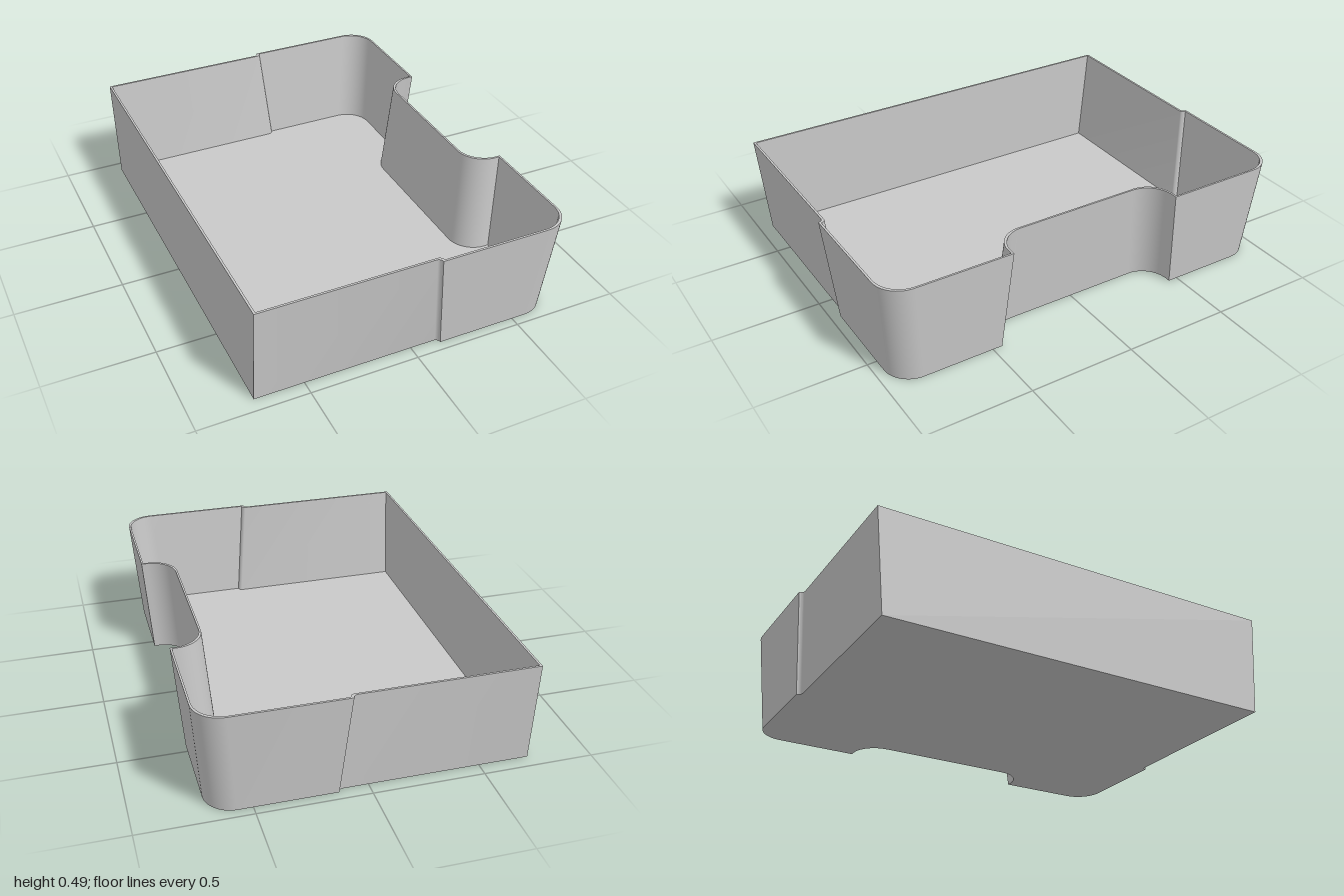
import * as THREE from 'three';
import { toCreasedNormals } from 'three/addons/utils/BufferGeometryUtils.js';

const HEIGHT = 0.485, WALL = 0.01, DRAFT = 0.042, FLOOR = 0.012;

// Points of an arc in the x-z plane, angles in quarter turns
function arc(cx, cz, r, from, to, steps) {
  return Array.from({ length: steps + 1 }, (_, i) => {
    const a = (from + (to - from) * i / steps) * Math.PI / 2;
    return [cx + r * Math.cos(a), cz + r * Math.sin(a)];
  });
}

// Plan outline moved inward by d, at height y; the straight edge sits at edgeX
function outline(d, edgeX, y) {
  const e = 0.87 * d;                                         // the notched end slopes less
  const side = 0.977 - d, wide = 0.998 - d, end = 0.727 - e;
  const step = 0.092 + d, notchX = 0.58 - e, notchZ = 0.418 + e;
  const r = 0.125, s = wide - side;
  const half = [
    [edgeX, side],
    ...arc(step - s, wide, s, -1, 0, 6),                      // small side step
    ...arc(end - r, wide - r, r, 1, 0, 16),                   // rounded corner
    [end, notchZ],
    ...arc(notchX + r, notchZ - r, r, 1, 2, 16)               // notch corner
  ];
  const mirrored = half.map(([x, z]) => [x, -z]).reverse();
  return [...half, ...mirrored].map(([x, z]) => new THREE.Vector3(x, y, z));
}

// Closed band of quads between two outlines
function band(a, b) {
  const pos = [];
  for (let i = 0; i < a.length; i++) {
    const j = (i + 1) % a.length;
    for (const p of [a[i], a[j], b[j], a[i], b[j], b[i]]) pos.push(p.x, p.y, p.z);
  }
  const g = new THREE.BufferGeometry();
  g.setAttribute('position', new THREE.Float32BufferAttribute(pos, 3));
  return toCreasedNormals(g, 0.5);
}

// Flat face filling an outline, facing up (1) or down (-1)
function cap(ring, facing) {
  const shape = new THREE.Shape(ring.map(p => new THREE.Vector2(p.x, -facing * p.z)));
  return new THREE.ShapeGeometry(shape)
    .rotateX(-facing * Math.PI / 2)
    .translate(0, ring[0].y, 0);
}

export function createModel() {
  const group = new THREE.Group();
  group.name = 'tray';
  const grey = new THREE.MeshStandardMaterial({ color: 0xc8c8c8 });
  grey.name = 'lightGrey';

  const edge = -0.727;
  const outerBottom = outline(DRAFT, edge, 0);
  const outerTop = outline(0, edge, HEIGHT);
  const innerTop = outline(WALL, edge + WALL, HEIGHT);
  const innerBottom = outline(DRAFT + WALL, edge + WALL, FLOOR);

  const parts = {
    outerWall: band(outerBottom, outerTop),
    rim: band(outerTop, innerTop),
    innerWall: band(innerTop, innerBottom),
    floor: cap(innerBottom, 1),
    underside: cap(outerBottom, -1)
  };
  for (const [name, geometry] of Object.entries(parts)) {
    const mesh = new THREE.Mesh(geometry, grey);
    mesh.name = name;
    group.add(mesh);
  }
  return group;
}
